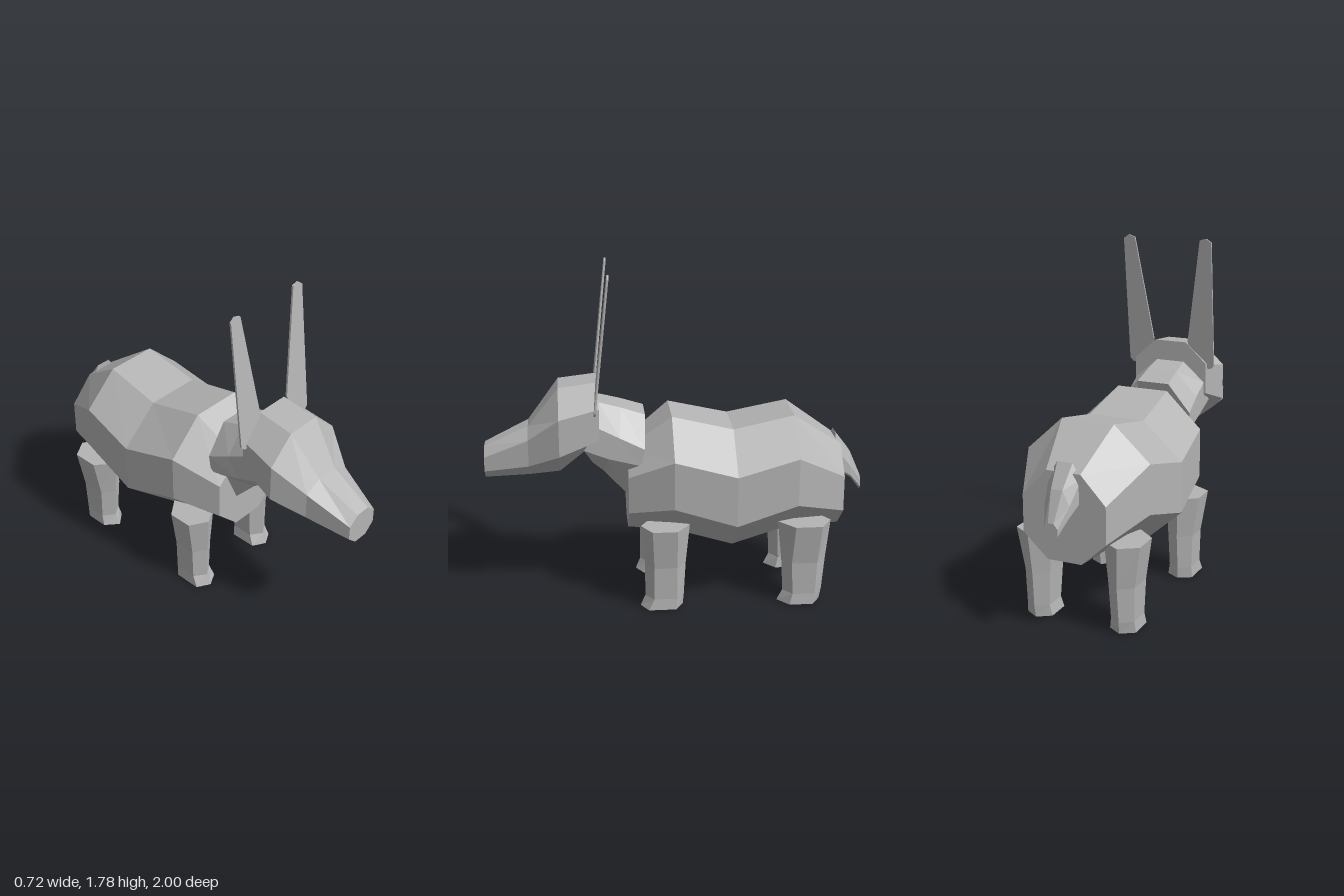
import * as THREE from 'three';

const grey = new THREE.MeshStandardMaterial({ color: 0xb4b4b4, flatShading: true, side: THREE.DoubleSide });
grey.name = 'stone grey';

// Faceted skin over a list of rings, closed at both ends
function loft(name, rings) {
  const out = [];
  const tri = (a, b, c) => out.push(...a, ...b, ...c);
  const n = rings[0].length;
  for (let i = 0; i < rings.length - 1; i++) {
    const a = rings[i], b = rings[i + 1];
    for (let j = 0; j < n; j++) {
      const k = (j + 1) % n;
      tri(a[j], a[k], b[k]);
      tri(a[j], b[k], b[j]);
    }
  }
  const first = rings[0], last = rings[rings.length - 1];
  for (let j = 1; j < n - 1; j++) {
    tri(first[0], first[j + 1], first[j]);
    tri(last[0], last[j], last[j + 1]);
  }
  const g = new THREE.BufferGeometry();
  g.setAttribute('position', new THREE.Float32BufferAttribute(out, 3));
  g.computeVertexNormals();
  const mesh = new THREE.Mesh(g, grey);
  mesh.name = name;
  return mesh;
}

// Symmetric eight-sided ring: half widths, then y and z of top, upper, lower and bottom pairs
function octagon([top, side, bottom], ys, zs) {
  const z = Array.isArray(zs) ? zs : [zs, zs, zs, zs];
  const right = [[bottom, ys[3], z[3]], [side, ys[2], z[2]], [side, ys[1], z[1]], [top, ys[0], z[0]]];
  const left = right.map(([x, y, d]) => [-x, y, d]).reverse();
  return [...right, ...left];
}

// Mirrors a ring in x and keeps its corner order
const sided = (ring, s) => (s > 0 ? ring : ring.map(([x, y, z]) => [-x, y, z]).reverse());

// Six-sided leg ring: x range, then front, outer front, outer back and back z
function hexagon(y, x0, x1, [f, of, ob, b]) {
  const m = (x0 + x1) / 2;
  return [[x1, y, of], [x1, y, ob], [m, y, b], [x0, y, ob], [x0, y, of], [m, y, f]];
}

export function createModel() {
  const model = new THREE.Group();
  model.name = 'longEaredAnimal';

  // Barrel body with a dipped back
  model.add(loft('body', [
    octagon([0.09, 0.22, 0.09], [0.83, 0.69, 0.5, 0.38], -0.87),
    octagon([0.14, 0.33, 0.14], [1.01, 0.835, 0.58, 0.395], -0.61),
    octagon([0.15, 0.36, 0.15], [0.945, 0.755, 0.487, 0.3], -0.29),
    octagon([0.14, 0.33, 0.14], [1.02, 0.835, 0.58, 0.395], 0.03),
    octagon([0.09, 0.22, 0.09], [0.84, 0.72, 0.525, 0.395], 0.26),
  ]));

  // Neck
  model.add(loft('neck', [
    octagon([0.09, 0.21, 0.09], [1.02, 0.87, 0.78, 0.58], [0.165, 0.175, 0.19, 0.26]),
    octagon([0.085, 0.2, 0.09], [1.06, 0.93, 0.82, 0.715], [0.29, 0.3, 0.36, 0.38]),
    octagon([0.08, 0.2, 0.09], [1.09, 0.985, 0.87, 0.765], [0.405, 0.405, 0.485, 0.44]),
  ]));

  // Head tapering to a blunt snout
  model.add(loft('head', [
    octagon([0.09, 0.21, 0.09], [1.2, 1.09, 0.925, 0.89], 0.405),
    octagon([0.095, 0.235, 0.09], [1.175, 1.045, 0.85, 0.725], 0.61),
    octagon([0.06, 0.15, 0.06], [0.965, 0.915, 0.775, 0.7], 0.77),
    octagon([0.04, 0.095, 0.04], [0.855, 0.81, 0.735, 0.685], 1.0),
  ]));

  // Tail
  model.add(loft('tail', [
    octagon([0.015, 0.035, 0.015], [0.62, 0.595, 0.56, 0.54], -1.0),
    octagon([0.03, 0.065, 0.03], [0.765, 0.69, 0.635, 0.615], [-0.935, -0.935, -0.94, -0.945]),
    octagon([0.04, 0.085, 0.04], [0.875, 0.8, 0.69, 0.66], [-0.85, -0.85, -0.86, -0.86]),
  ]));

  const earOutline = [[0.16, 1.06], [0.23, 1.06], [0.25, 1.08], [0.253, 1.76],
    [0.225, 1.78], [0.188, 1.77], [0.1, 1.2]];

  for (const s of [1, -1]) {
    const side = s > 0 ? 'left' : 'right';

    // Thin, backward-leaning ear
    const earRing = (dz) => sided(earOutline.map(([x, y]) => [x, y, 0.43 - 0.11 * (y - 1.06) + dz]), s);
    model.add(loft(side + 'Ear', [earRing(-0.007), earRing(0.003)]));

    // Legs with slightly flared hooves
    model.add(loft(side + 'FrontLeg', [
      hexagon(0, 0.16, 0.3, [0.205, 0.165, 0.02, -0.02]),
      hexagon(0.06, 0.17, 0.295, [0.18, 0.135, 0.015, -0.025]),
      hexagon(0.24, 0.16, 0.3, [0.18, 0.135, 0.015, -0.035]),
      hexagon(0.46, 0.145, 0.335, [0.2, 0.145, 0.015, -0.055]),
    ].map((r) => sided(r, s))));
    model.add(loft(side + 'BackLeg', [
      hexagon(0, 0.16, 0.3, [-0.525, -0.585, -0.71, -0.755]),
      hexagon(0.06, 0.17, 0.295, [-0.555, -0.6, -0.72, -0.765]),
      hexagon(0.24, 0.16, 0.3, [-0.545, -0.59, -0.725, -0.78]),
      hexagon(0.46, 0.145, 0.335, [-0.52, -0.6, -0.74, -0.8]),
    ].map((r) => sided(r, s))));
  }
  return model;
}
